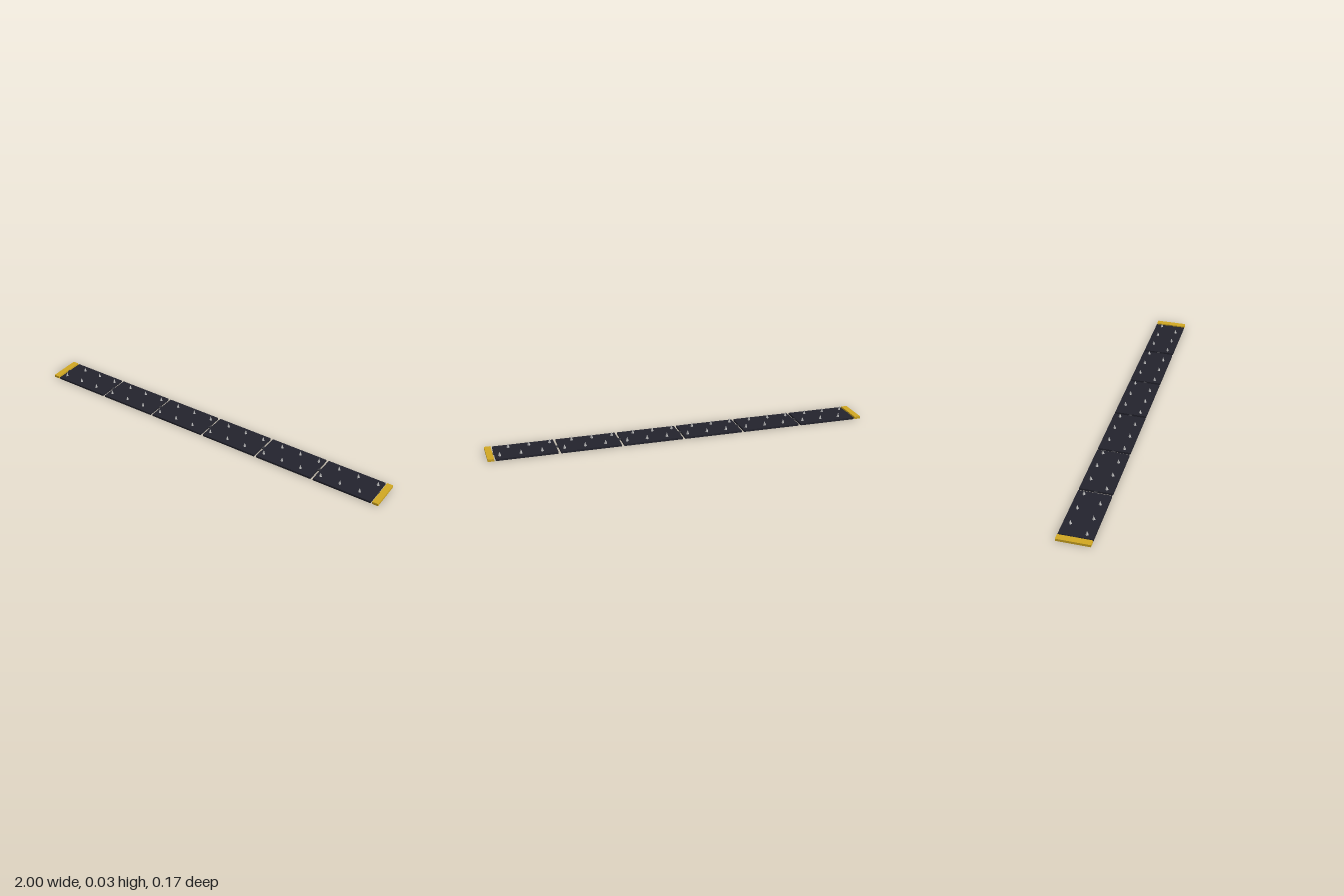
import * as THREE from 'three';

export function createModel() {
  const model = new THREE.Group();
  const plateMat = new THREE.MeshStandardMaterial({ color: 0x23232d });
  plateMat.name = 'dark plate';
  const capMat = new THREE.MeshStandardMaterial({ color: 0xd0a722 });
  capMat.name = 'yellow cap';
  const spikeMat = new THREE.MeshStandardMaterial({ color: 0xbcbcbc, flatShading: true });
  spikeMat.name = 'steel spike';
  const hingeMat = new THREE.MeshStandardMaterial({ color: 0x3a3a40 });
  hingeMat.name = 'hinge grey';

  const add = (parent, name, geometry, material, x, y, z) => {
    const mesh = new THREE.Mesh(geometry, material);
    mesh.name = name;
    mesh.position.set(x, y, z);
    parent.add(mesh);
    return mesh;
  };

  const count = 6, pitch = 0.3224, depth = 0.166, plateH = 0.01, spikeH = 0.023;
  const plateGeo = new THREE.BoxGeometry(0.309, plateH, depth);
  const spikeGeo = new THREE.ConeGeometry(0.008, spikeH, 4);
  const hingeGeo = new THREE.BoxGeometry(0.03, 0.006, 0.016);

  // Plates with two staggered rows of four-sided spikes
  for (let i = 0; i < count; i++) {
    const segment = new THREE.Group();
    segment.name = 'segment';
    segment.position.x = (i - (count - 1) / 2) * pitch;
    model.add(segment);
    add(segment, 'plate', plateGeo, plateMat, 0, plateH / 2, 0);
    for (let j = 0; j < 6; j++) {
      const z = j % 2 ? -0.047 : 0.047;
      add(segment, 'spike', spikeGeo, spikeMat, (j - 2.5) * 0.0525, plateH + spikeH / 2 - 0.0005, z);
    }
  }

  // Hinges across every gap, including those beside the end caps
  for (let i = 0; i <= count; i++) {
    add(model, 'hinge', hingeGeo, hingeMat, (i - count / 2) * pitch, 0.005, 0);
  }

  // End caps
  const capGeo = new THREE.BoxGeometry(0.032, 0.0125, depth);
  for (const side of [-1, 1]) add(model, 'endCap', capGeo, capMat, side * 0.984, 0.00625, 0);

  return model;
}
